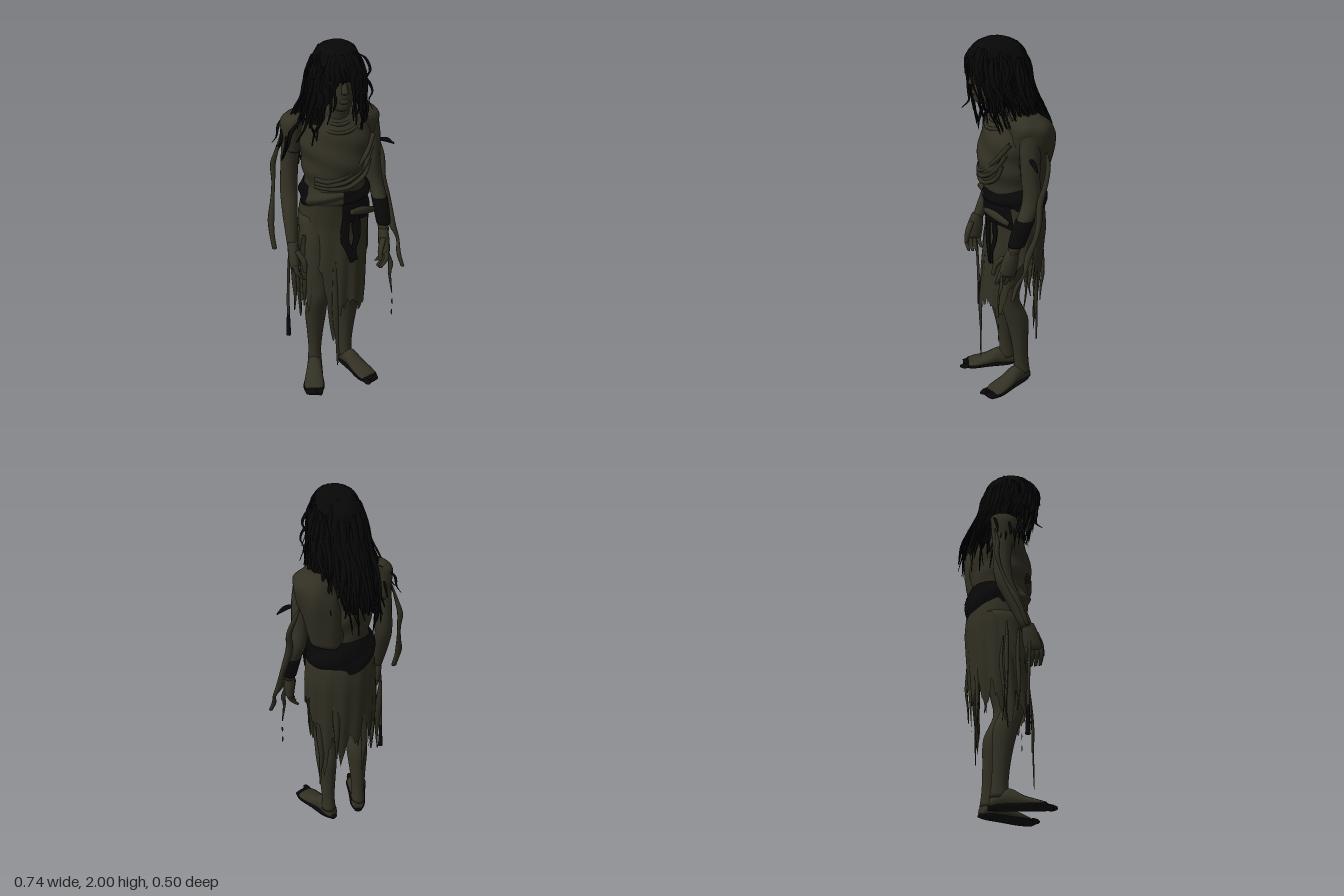
import * as THREE from 'three';

const material = (name, color, side = THREE.FrontSide) => {
  const m = new THREE.MeshStandardMaterial({ color, side });
  m.name = name;
  return m;
};
const TAU = Math.PI * 2;

// Grid surface: f(t, a) gives a point, t runs downwards, a runs from the front towards +x
function surface(f, rows, cols, a0 = 0, a1 = TAU) {
  const closed = a1 - a0 > TAU - 0.001, n = closed ? cols : cols + 1, pos = [], idx = [];
  for (let i = 0; i <= rows; i++)
    for (let j = 0; j < n; j++) pos.push(...f(i / rows, a0 + (a1 - a0) * j / cols));
  for (let i = 0; i < rows; i++)
    for (let j = 0; j < cols; j++) {
      const a = i * n + j, b = i * n + (j + 1) % n;
      idx.push(a, a + n, b + n, a, b + n, b);
    }
  const g = new THREE.BufferGeometry();
  g.setAttribute('position', new THREE.Float32BufferAttribute(pos, 3));
  g.setIndex(idx);
  g.computeVertexNormals();
  return g;
}

// Closed body through elliptical sections [x, y, z, rx, rz], listed top to bottom
function loft(sections, cols = 16, rows = sections.length * 4, fold = () => 1) {
  const mid = new THREE.CatmullRomCurve3(sections.map(s => new THREE.Vector3(s[0], s[1], s[2])), false, 'catmullrom');
  const rad = new THREE.CatmullRomCurve3(sections.map(s => new THREE.Vector3(s[3], s[4] ?? s[3], 0)), false, 'catmullrom');
  return surface((t, a) => {
    const u = Math.min(1, Math.max(0, (t * rows - 1) / (rows - 2)));
    const c = mid.getPoint(u), r = rad.getPoint(u);
    const k = t === 0 || t === 1 ? 0 : fold(u, a);
    return [c.x + r.x * k * Math.sin(a), c.y, c.z + r.y * k * Math.cos(a)];
  }, rows, cols);
}

// Section of a profile at height y
function sample(sections, y) {
  let i = 0;
  while (i < sections.length - 2 && sections[i + 1][1] > y) i++;
  const p = sections[i], q = sections[i + 1];
  const k = Math.min(1, Math.max(0, (p[1] - y) / (p[1] - q[1])));
  return p.map((v, n) => v + (q[n] - v) * k);
}

export function createModel() {
  const model = new THREE.Group();
  model.name = 'raggedFigure';
  let seed = 7;
  const rnd = (lo = 0, hi = 1) => {
    seed = (seed * 16807) % 2147483647;
    return lo + (hi - lo) * seed / 2147483647;
  };
  const skin = material('skin', 0x333124);
  const cloth = material('cloth', 0x323023, THREE.DoubleSide);
  const hair = material('hair', 0x070707, THREE.DoubleSide);
  const leather = material('dark leather', 0x080808, THREE.DoubleSide);
  const add = (name, geometry, mat, parent = model) => {
    const m = new THREE.Mesh(geometry, mat);
    m.name = name;
    parent.add(m);
    return m;
  };
  // Ragged tapering strip
  const strip = (name, mat, pts, w, d = w * 0.4, taper = 0.85, ragged = 0.2) => add(name, loft(pts.map((p, i) => {
    const k = (i ? 1 - taper * i / (pts.length - 1) : 0.35) * rnd(1 - ragged, 1 + ragged);
    return [...p, w * k, d * k];
  }), 6, pts.length * 3), mat);

  // Head, nose, mouth and neck
  add('head', loft([[-0.01, 1.95, 0.07, 0.05, 0.07], [-0.01, 1.89, 0.075, 0.085, 0.11], [-0.01, 1.81, 0.085, 0.085, 0.11],
    [-0.01, 1.74, 0.105, 0.07, 0.09], [-0.01, 1.69, 0.125, 0.048, 0.065], [-0.01, 1.67, 0.13, 0.025, 0.03]], 20), skin);
  add('nose', loft([[-0.01, 1.84, 0.185, 0.01, 0.012], [-0.01, 1.785, 0.198, 0.018, 0.022], [-0.01, 1.77, 0.19, 0.012, 0.012]], 8), skin);
  add('mouth', loft([[-0.01, 1.745, 0.185, 0.02, 0.012], [-0.01, 1.73, 0.188, 0.026, 0.012], [-0.01, 1.715, 0.178, 0.018, 0.012]], 8), skin);
  add('neck', loft([[-0.01, 1.75, 0.05, 0.055, 0.06], [0, 1.66, 0.03, 0.058, 0.06], [0, 1.57, 0, 0.09, 0.08]]), skin);

  // Draped tunic with slanting folds, and the shawl over the left shoulder and back
  add('tunic', loft([[0, 1.64, -0.02, 0.07, 0.07], [0, 1.59, -0.02, 0.165, 0.11], [0, 1.52, -0.015, 0.2, 0.148], [0, 1.43, -0.005, 0.188, 0.165],
    [0, 1.34, 0, 0.178, 0.17], [0, 1.25, -0.005, 0.165, 0.155], [0, 1.14, -0.015, 0.172, 0.152]], 56, 40,
  (u, a) => 1 + 0.03 * Math.sin(u * 24 - 3.5 * Math.sin(a)) * Math.sin(Math.PI * u)), cloth);
  add('shoulderShawl', loft([[0.14, 1.63, -0.04, 0.05, 0.06], [0.145, 1.58, -0.05, 0.105, 0.11], [0.13, 1.5, -0.065, 0.115, 0.125],
    [0.1, 1.38, -0.065, 0.115, 0.122], [0.06, 1.22, -0.06, 0.115, 0.105]], 32, 28,
  (u, a) => 1 + 0.03 * Math.sin(6 * a + u * 9)), cloth);
  add('rightSleeve', loft([[-0.19, 1.62, -0.03, 0.05, 0.06], [-0.225, 1.58, -0.03, 0.055, 0.075], [-0.225, 1.5, -0.03, 0.055, 0.07],
    [-0.22, 1.42, -0.035, 0.042, 0.06]]), cloth);
  for (let i = 0; i < 2; i++) {
    const collar = new THREE.TorusGeometry(0.08 + i * 0.03, 0.01, 8, 32);
    collar.rotateX(Math.PI / 2 + 0.35);
    collar.translate(0, 1.605 - i * 0.025, 0.022);
    add('collarFold', collar, cloth);
  }
  // Diagonal drape ridges across the chest
  for (let i = 0; i < 3; i++) {
    const pts = [[0.185 - i * 0.015, 1.5 - i * 0.06], [0.12, 1.4 - i * 0.05], [0.02, 1.32 - i * 0.035], [-0.08, 1.29 - i * 0.02], [-0.145, 1.3 - i * 0.02]]
      .map(([x, y]) => new THREE.Vector3(x, y, 0.157 * Math.sqrt(1 - (x / 0.21) ** 2)));
    add('chestFold', new THREE.TubeGeometry(new THREE.CatmullRomCurve3(pts), 24, 0.012, 6), cloth);
  }

  // Ragged skirt, one hem height for every 15 degrees
  const skirt = [[0, 1.18, -0.01, 0.172, 0.152], [0, 1.08, -0.03, 0.187, 0.158], [0, 0.98, -0.037, 0.195, 0.157], [-0.01, 0.75, -0.018, 0.195, 0.158],
    [-0.015, 0.5, 0.004, 0.185, 0.156], [-0.015, 0.25, 0.015, 0.175, 0.14]];
  const hems = [0.5, 0.55, 0.52, 0.46, 0.62, 0.78, 0.85, 0.82, 0.62, 0.34, 0.65, 0.45, 0.66, 0.55, 0.7, 0.5, 0.65, 0.5, 0.42, 0.58, 0.45, 0.76, 0.73, 0.28];
  const jag = Array.from({ length: 120 }, () => rnd(-0.035, 0.035));
  add('skirt', surface((t, a) => {
    const h = (a / TAU * 24) % 24, i = Math.floor(h + 1e-6) % 24, k = Math.max(0, h - i);
    const hem = hems[i] + (hems[(i + 1) % 24] - hems[i]) * k + jag[Math.round(a / TAU * 120) % 120];
    const y = 1.18 + (hem - 1.18) * t, s = sample(skirt, y);
    const f = 1 + 0.035 * t * Math.sin(13 * a + 2 * t);
    return [s[0] + s[3] * f * Math.sin(a), y, s[2] + s[4] * f * Math.cos(a)];
  }, 18, 120), cloth);
  strip('frontTatter', cloth, [[-0.04, 0.8, 0.13], [-0.045, 0.5, 0.158], [-0.037, 0.32, 0.162], [-0.033, 0.22, 0.165], [-0.035, 0.14, 0.165]], 0.024, 0.008);
  for (const [x, z, top, end, w] of [[-0.205, -0.01, 0.98, 0.4, 0.03], [-0.232, -0.04, 0.88, 0.42, 0.024], [-0.19, 0.05, 0.95, 0.5, 0.03], [0.165, -0.05, 0.95, 0.6, 0.03],
    [0.14, -0.1, 0.8, 0.3, 0.03], [0.06, -0.165, 0.95, 0.5, 0.035], [-0.1, -0.14, 0.9, 0.36, 0.03]])
    strip('skirtTatter', cloth, [0, 0.3, 0.6, 0.8, 1].map(k => [x + rnd(-0.008, 0.008), top + (end - top) * k, z + rnd(-0.008, 0.008)]), w, w * 0.5);

  // Wide belt, deeper at the back, closed by a roll of cloth at the right of the front
  const band = (t, a) => {
    const low = 1.075 + 0.06 * Math.cos(a), high = 1.235 + 0.015 * Math.max(0, -Math.cos(a)), b = Math.sin(Math.PI * t);
    const r = 0.01 * Math.sin(4 * a + 9 * t) * b;
    return [(0.165 + 0.025 * b + r) * Math.sin(a), high + (low - high) * t, -0.018 + (0.15 + 0.028 * b + r) * Math.cos(a)];
  };
  add('belt', surface(band, 10, 40, 0, TAU - 1.15), leather);
  add('waistRoll', surface(band, 10, 12, TAU - 1.15, TAU), cloth);
  // Flat pouch below the belt, knotted sash and hanging straps
  add('pouch', surface((t, a) => {
    const y = 1.16 - 0.15 * t + 0.02 * Math.sin(3 * a) * t, s = sample(skirt, y), out = 0.008 + 0.01 * Math.sin(Math.PI * t);
    return [s[0] + (s[3] + out) * Math.sin(a), y, s[2] + (s[4] + out) * Math.cos(a)];
  }, 8, 14, -0.02, 1.05), leather);
  const sash = loft([[0, 0.085, 0, 0.015, 0.01], [0.006, 0, 0.006, 0.024, 0.014], [0, -0.085, 0, 0.015, 0.01]], 10);
  sash.rotateZ(1.35).rotateY(0.45).translate(0.115, 1.085, 0.122);
  add('sashKnot', sash, cloth);
  strip('strap', leather, [[0.02, 1.1, 0.135], [0.018, 1.02, 0.132], [0.015, 0.92, 0.132], [0.04, 0.86, 0.138], [0.055, 0.79, 0.14]], 0.032, 0.01, 0.5);
  strip('strap', leather, [[0.085, 1.08, 0.12], [0.082, 1, 0.118], [0.085, 0.93, 0.122], [0.065, 0.86, 0.132], [0.075, 0.8, 0.135]], 0.032, 0.01, 0.5);

  // Legs and turned-out feet with toes and dark soles
  for (const [side, x, dz, turn] of [['left', 0.075, 0, 0.36], ['right', -0.115, 0.012, -0.3]]) {
    const s = Math.sign(x);
    add(side + 'Leg', loft([[x, 1.05, -0.03, 0.08, 0.1], [x + 0.005 * s, 0.85, 0.005, 0.085, 0.1], [x, 0.66, 0.035, 0.068, 0.075], [x, 0.55, 0.035 + dz, 0.057, 0.06],
      [x, 0.42, -0.012 + dz, 0.06, 0.065], [x, 0.28, -0.03 + dz, 0.047, 0.05], [x, 0.15, -0.04 + dz, 0.037, 0.043], [x, 0.06, -0.045 + dz, 0.041, 0.048]], 18), skin);
    const foot = new THREE.Group();
    foot.name = side + 'Foot';
    foot.position.set(x, 0, -0.042 + dz);
    foot.rotation.y = turn;
    model.add(foot);
    const body = loft([[0, 0.05, 0.035, 0.026, 0.025], [0, 0.02, 0.045, 0.04, 0.04], [0, -0.05, 0.058, 0.042, 0.052], [0, -0.12, 0.04, 0.05, 0.033],
      [0, -0.19, 0.028, 0.056, 0.021], [0, -0.23, 0.022, 0.048, 0.014]], 16);
    add('foot', body.rotateX(-Math.PI / 2), skin, foot);
    for (let i = 0; i < 5; i++) {
      const r = i ? 0.011 : 0.016, toe = new THREE.SphereGeometry(r, 10, 8);
      toe.scale(1, 0.95, 2.1).translate(s * (-0.038 + i * 0.021), 0.018, 0.25 - i * 0.009);
      add('toe', toe, leather, foot);
    }
    const sole = loft([[0, 0.058, 0.014, 0.02, 0.01], [0, 0, 0.016, 0.044, 0.016], [0, -0.1, 0.015, 0.051, 0.015], [0, -0.2, 0.015, 0.062, 0.015], [0, -0.262, 0.011, 0.042, 0.01]], 14);
    add('sole', sole.rotateX(-Math.PI / 2), leather, foot);
  }

  // Arms, hands and wrist band
  const hand = (name, x, y, z, s, lean) => {
    const g = new THREE.Group();
    g.name = name;
    g.position.set(x, y, z);
    g.rotation.x = lean;
    g.scale.setScalar(1.12);
    model.add(g);
    add('palm', loft([[0, 0.02, 0, 0.024, 0.028], [0, -0.03, 0, 0.026, 0.04], [0, -0.09, 0, 0.024, 0.044], [0, -0.11, 0, 0.016, 0.038]], 12), skin, g);
    for (let i = 0; i < 4; i++) {
      const fz = 0.034 - i * 0.022, l = i === 3 ? 0.06 : 0.08;
      add('finger', loft([[0, -0.09, fz, 0.013, 0.012], [-s * 0.005, -0.09 - l * 0.5, fz, 0.013, 0.012], [-s * 0.035, -0.09 - l, fz - 0.008, 0.009, 0.008]], 8), skin, g);
    }
    add('thumb', loft([[-s * 0.01, -0.02, 0.03, 0.015, 0.015], [-s * 0.035, -0.07, 0.05, 0.015, 0.015], [-s * 0.04, -0.125, 0.05, 0.009, 0.009]], 8), skin, g);
  };
  add('rightArm', loft([[-0.2, 1.58, -0.03, 0.05, 0.06], [-0.225, 1.48, -0.035, 0.05, 0.056], [-0.236, 1.34, -0.045, 0.046, 0.05], [-0.245, 1.2, -0.035, 0.047, 0.048],
    [-0.255, 1.08, 0.015, 0.041, 0.045], [-0.264, 0.92, 0.085, 0.027, 0.032]]), skin);
  add('leftArm', loft([[0.19, 1.58, -0.03, 0.05, 0.06], [0.208, 1.45, -0.025, 0.048, 0.056], [0.215, 1.32, -0.025, 0.045, 0.05], [0.23, 1.2, -0.025, 0.045, 0.048],
    [0.246, 1.09, 0.02, 0.04, 0.045], [0.252, 0.93, 0.085, 0.028, 0.032]]), skin);
  hand('rightHand', -0.262, 0.92, 0.092, -1, -0.2);
  hand('leftHand', 0.248, 0.92, 0.09, 1, -0.25);
  add('wristBand', loft([[0.246, 1.105, 0.015, 0.044, 0.052], [0.251, 1.04, 0.043, 0.043, 0.051], [0.255, 0.97, 0.068, 0.039, 0.046]]), leather);
  // Thin switch hanging from the right hand
  add('switch', loft([[-0.285, 0.84, 0.09, 0.008], [-0.292, 0.6, 0.078, 0.008], [-0.292, 0.48, 0.075, 0.009]], 8), cloth);
  add('switchTip', loft([[-0.292, 0.49, 0.075, 0.009], [-0.293, 0.42, 0.073, 0.011], [-0.293, 0.34, 0.072, 0.014]], 8), leather);

  // Torn strips trailing from both arms
  strip('leftTrail', cloth, [[0.24, 1.45, -0.1], [0.268, 1.39, -0.1], [0.29, 1.3, -0.075], [0.283, 1.2, -0.05], [0.305, 1.1, -0.035], [0.318, 1.02, -0.01], [0.32, 0.93, 0.03],
    [0.345, 0.85, 0.06], [0.338, 0.78, 0.1], [0.352, 0.71, 0.13]], 0.02, 0.02, 0.35, 0.4);
  strip('rightTrail', cloth, [[-0.26, 1.5, -0.09], [-0.295, 1.4, -0.08], [-0.315, 1.32, -0.09], [-0.32, 1.23, -0.07], [-0.335, 1.14, -0.04], [-0.355, 1.05, 0],
    [-0.36, 0.98, 0.03], [-0.355, 0.9, 0.06]], 0.019, 0.019, 0.4, 0.4);
  strip('handTatter', cloth, [[0.25, 0.84, 0.15], [0.27, 0.76, 0.16], [0.262, 0.7, 0.17], [0.275, 0.58, 0.18]], 0.018, 0.012);
  for (const y of [0.52, 0.45])
    strip('fallingScrap', cloth, [[0.278, y + 0.018, 0.18], [0.276, y, 0.18], [0.28, y - 0.018, 0.18]], 0.009);
  const wisp = loft([[0, 0.05, 0, 0.008], [0.01, 0, 0, 0.013], [0, -0.05, 0, 0.004]], 8);
  add('leftWisp', wisp.rotateZ(1.2).translate(0.285, 1.41, -0.01), hair);

  // Hair: crown, open mantle down the back, then tapering locks following it
  const mantle = [[-0.01, 2, 0.07, 0.045, 0.05], [-0.012, 1.975, 0.067, 0.088, 0.105], [-0.015, 1.92, 0.062, 0.115, 0.15], [-0.016, 1.84, 0.058, 0.132, 0.162],
    [-0.016, 1.73, 0.035, 0.145, 0.158], [-0.018, 1.6, -0.01, 0.163, 0.175], [-0.02, 1.48, -0.05, 0.152, 0.155], [-0.03, 1.36, -0.06, 0.13, 0.155], [-0.04, 1.25, -0.07, 0.11, 0.15]];
  const around = (y, a, out = 0) => {
    const s = sample(mantle, y);
    return [s[0] + (s[3] + out) * Math.sin(a), y, s[2] + (s[4] + out) * Math.cos(a)];
  };
  // Longest at the back right, shorter over the left shoulder
  const hairEnd = a => a < 1.9 || a > 4.6 ? 1.58 : a < 2.7 ? 1.52 : 1.38;
  add('hairCrown', loft(mantle.slice(0, 4), 40, 18, (u, a) => 1 + 0.025 * Math.sin(17 * a)), hair);
  const fall = Array.from({ length: 61 }, () => rnd(0, 0.1));
  add('hairMantle', surface((t, a) => {
    const hem = hairEnd(a) + fall[Math.round((a - 0.7) / (TAU - 1.4) * 60)];
    return around(1.9 + (hem - 1.9) * t, a, 0.006 * Math.sin(19 * a));
  }, 14, 60, 0.7, TAU - 0.7), hair);
  const lock = (a, top, end, w, flare, wave) => strip('hairLock', hair, [0, 0.2, 0.4, 0.6, 0.8, 1].map(k => {
    const p = around(top + (end - top) * k, a + rnd(-wave, wave), 0.002 + flare * k * k);
    return [p[0] + rnd(-0.015, 0.015) * k, p[1], p[2] + rnd(-0.01, 0.01) * k];
  }), w, w * 0.7);
  for (let i = 0; i < 80; i++) {
    const a = 0.55 + (TAU - 1.1) * (i + rnd(0, 0.8)) / 80;
    lock(a, rnd(1.84, 1.985), hairEnd(a) + rnd(-0.1, 0.08), rnd(0.013, 0.026), rnd(0, a > 4.2 ? 0.065 : 0.045), 0.09);
  }
  // Fringe parted over the face
  for (let i = 0; i < 16; i++) {
    const a = -0.7 + 1.4 * i / 15, inner = Math.abs(a) < 0.32;
    lock(a, 1.965, inner ? rnd(1.82, 1.87) : rnd(1.6, 1.72), 0.019, inner ? 0 : 0.008, 0.04);
  }
  // Loose wisps, and tangles resting on the right shoulder
  for (const [s, y, z] of [[1, 1.9, 0.05], [1, 1.8, 0.09], [1, 1.72, 0], [-1, 1.9, 0.07], [-1, 1.74, 0.03], [-1, 1.8, -0.03]])
    strip('looseWisp', hair, [[s * 0.09, y + 0.03, z], [s * 0.14, y, z], [s * 0.165, y - 0.06, z + 0.01], [s * 0.15, y - 0.11, z], [s * 0.18, y - 0.17, z - 0.02]], 0.011, 0.009);
  for (let i = 0; i < 7; i++) {
    const z = -0.09 + i * 0.025, x = rnd(-0.275, -0.24);
    strip('shoulderTangle', hair, [[-0.19, 1.62, z], [x, 1.55, z], [x - 0.02, 1.48, z + 0.01], [x - 0.045, rnd(1.36, 1.45), z]], rnd(0.012, 0.022), 0.014);
  }
  return model;
}
